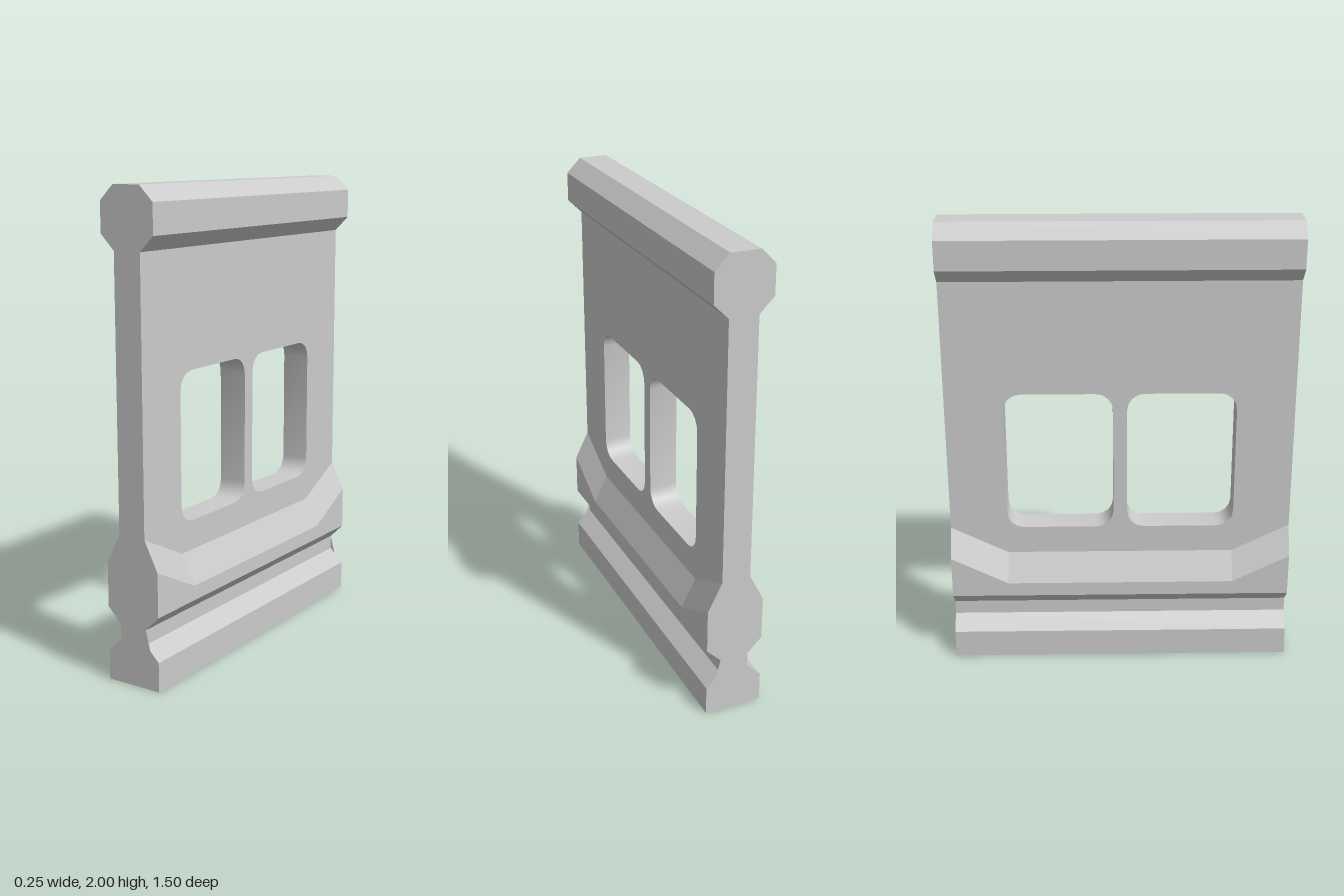
import * as THREE from 'three';
import { toCreasedNormals } from 'three/addons/utils/BufferGeometryUtils.js';

const WEB = 0.0625;   // half thickness of the panel
const WIDE = 0.125;   // half thickness of the mouldings
const END = 0.75;     // half length along z

// Loft a convex half profile [[x, y], ...] (bottom to top, mirrored in x) through stations along z
function loft(name, stations, material) {
  const pos = [];
  const rings = stations.map(({ z, half }) => [
    ...half.map(([x, y]) => [x, y, z]),
    ...half.slice().reverse().map(([x, y]) => [-x, y, z]),
  ]);
  const tri = (a, b, c) => pos.push(...a, ...b, ...c);
  const n = rings[0].length;
  for (let s = 0; s < rings.length - 1; s++) {
    const a = rings[s], b = rings[s + 1];
    for (let i = 0; i < n; i++) {
      const j = (i + 1) % n;
      tri(a[i], a[j], b[j]);
      tri(a[i], b[j], b[i]);
    }
  }
  const back = rings[0], front = rings[rings.length - 1];
  for (let i = 1; i < n - 1; i++) {
    tri(front[0], front[i], front[i + 1]);
    tri(back[0], back[i + 1], back[i]);
  }
  const geo = new THREE.BufferGeometry();
  geo.setAttribute('position', new THREE.Float32BufferAttribute(pos, 3));
  geo.computeVertexNormals();
  const mesh = new THREE.Mesh(geo, material);
  mesh.name = name;
  return mesh;
}

const straight = (half) => [{ z: -END, half }, { z: END, half }];

// Rounded window opening
function windowHole(x0, x1, y0, y1, r) {
  const p = new THREE.Path();
  p.moveTo(x0 + r, y0);
  p.lineTo(x1 - r, y0);
  p.absarc(x1 - r, y0 + r, r, -Math.PI / 2, 0);
  p.lineTo(x1, y1 - r);
  p.absarc(x1 - r, y1 - r, r, 0, Math.PI / 2);
  p.lineTo(x0 + r, y1);
  p.absarc(x0 + r, y1 - r, r, Math.PI / 2, Math.PI);
  p.lineTo(x0, y0 + r);
  p.absarc(x0 + r, y0 + r, r, Math.PI, Math.PI * 1.5);
  return p;
}

export function createModel() {
  const group = new THREE.Group();
  group.name = 'windowWallPanel';
  const flat = new THREE.MeshStandardMaterial({ color: 0xcccccc, flatShading: true });
  const smooth = new THREE.MeshStandardMaterial({ color: 0xcccccc });

  // Plinth with chamfered top and recessed neck
  group.add(loft('plinth', straight([[WIDE, 0], [WIDE, 0.125], [WEB, 0.1875], [WEB, 0.25]]), flat));

  // Sill moulding, rising towards both ends
  const sill = (y) => [[WEB, 0.25], [WIDE, 0.3125], [WIDE, y], [WEB, y + 0.125]];
  group.add(loft('sill', [
    { z: -END, half: sill(0.5) },
    { z: -0.5, half: sill(0.375) },
    { z: 0.5, half: sill(0.375) },
    { z: END, half: sill(0.5) },
  ], flat));

  // Panel with two windows, its lower edge following the sill
  const outline = new THREE.Shape([
    [-END, 0.625], [-0.5, 0.5], [0.5, 0.5], [END, 0.625], [END, 1.75], [-END, 1.75],
  ].map(([x, y]) => new THREE.Vector2(x, y)));
  outline.holes.push(
    windowHole(0.03, 0.5, 0.625, 1.255, 0.075),
    windowHole(-0.5, -0.03, 0.625, 1.255, 0.075),
  );
  const panelGeo = new THREE.ExtrudeGeometry(outline, { depth: WEB * 2, bevelEnabled: false, curveSegments: 2 });
  panelGeo.translate(0, 0, -WEB);
  panelGeo.rotateY(Math.PI / 2);
  const panel = new THREE.Mesh(toCreasedNormals(panelGeo, 0.9), smooth);
  panel.name = 'panel';
  group.add(panel);

  // Octagonal top rail
  group.add(loft('topRail', straight([[WEB, 1.75], [WIDE, 1.8125], [WIDE, 1.9375], [WEB, 2]]), flat));

  return group;
}
